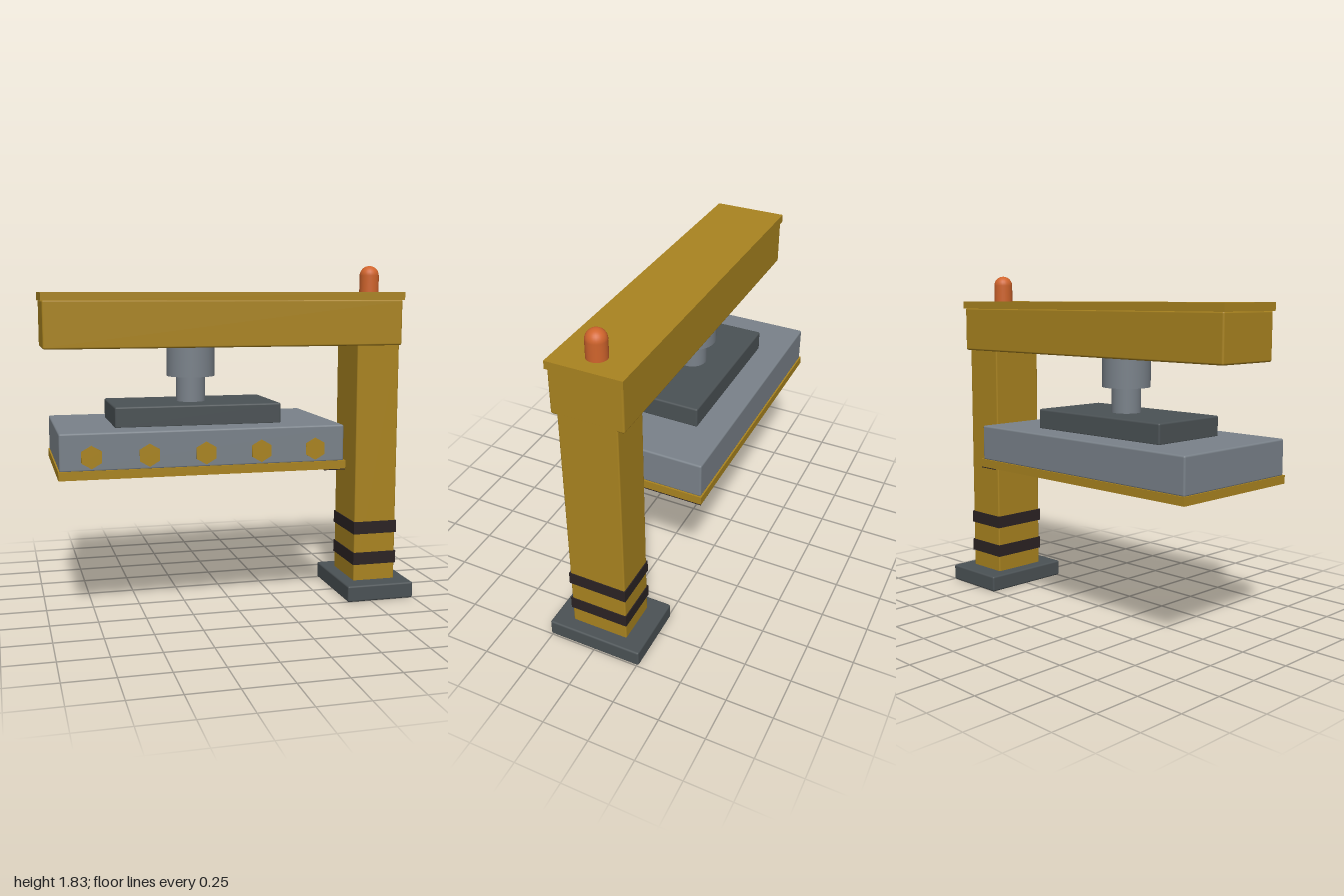
import * as THREE from 'three';
import { RoundedBoxGeometry } from 'three/addons/geometries/RoundedBoxGeometry.js';

const mat = (name, color) => {
  const m = new THREE.MeshStandardMaterial({ color });
  m.name = name;
  return m;
};

export function createModel() {
  const model = new THREE.Group();
  model.name = 'magnetGantry';
  const yellow = mat('yellowPaint', 0xaa8420);
  const steel = mat('greySteel', 0x7a828a);
  const dark = mat('darkSteel', 0x4b5255);
  const black = mat('blackStripe', 0x2b2324);
  const orange = mat('orangeLamp', 0xd0642c);

  const add = (name, geometry, material, x, y, z = 0) => {
    const mesh = new THREE.Mesh(geometry, material);
    mesh.name = name;
    mesh.position.set(x, y, z);
    model.add(mesh);
    return mesh;
  };
  // Box given by its x range, y range and half depth; bevel > 0 softens the edges
  const box = (name, material, x0, x1, y0, y1, halfZ, bevel = 0) => {
    const size = [x1 - x0, y1 - y0, 2 * halfZ];
    const geometry = bevel ? new RoundedBoxGeometry(...size, 2, bevel) : new THREE.BoxGeometry(...size);
    return add(name, geometry, material, (x0 + x1) / 2, (y0 + y1) / 2);
  };
  const cylinder = (name, material, r, x, y0, y1) =>
    add(name, new THREE.CylinderGeometry(r, r, y1 - y0, 32), material, x, (y0 + y1) / 2);

  // Foot, column and its warning bands
  box('foot', dark, 0.615, 0.997, 0, 0.09, 0.26, 0.01);
  box('column', yellow, 0.685, 0.926, 0.08, 1.42, 0.156, 0.008);
  for (const y of [0.18, 0.355]) box('columnBand', black, 0.68, 0.931, y, y + 0.069, 0.161);

  // Overhead beam and cap plate
  box('beam', yellow, -0.993, 0.926, 1.403, 1.648, 0.19, 0.01);
  box('beamCap', yellow, -1, 0.935, 1.645, 1.687, 0.197);

  // Warning lamp
  cylinder('lampBody', orange, 0.053, 0.805, 1.685, 1.778);
  add('lampDome', new THREE.SphereGeometry(0.053, 24, 10, 0, Math.PI * 2, 0, Math.PI / 2), orange, 0.805, 1.778);

  // Hanging ram
  const cx = -0.207;
  cylinder('ramSleeve', steel, 0.128, cx, 1.245, 1.41);
  cylinder('ramRod', steel, 0.078, cx, 1.1, 1.25);

  // Press head with bottom plate
  box('mountPlate', dark, -0.645, 0.231, 1.0, 1.111, 0.228, 0.01);
  box('headBlock', steel, -0.94, 0.526, 0.815, 1.006, 0.385, 0.01);
  box('bottomPlate', yellow, -0.946, 0.534, 0.775, 0.819, 0.392);
  box('undersideStripe', black, 0.42, 0.534, 0.77, 0.776, 0.39);

  // Hexagonal bolts on the front
  for (let i = -2; i <= 2; i++) {
    const hex = new THREE.CylinderGeometry(0.058, 0.058, 0.009, 6).rotateX(Math.PI / 2);
    add('frontBolt', hex, yellow, cx + i * 0.288, 0.886, 0.3865);
  }
  return model;
}
